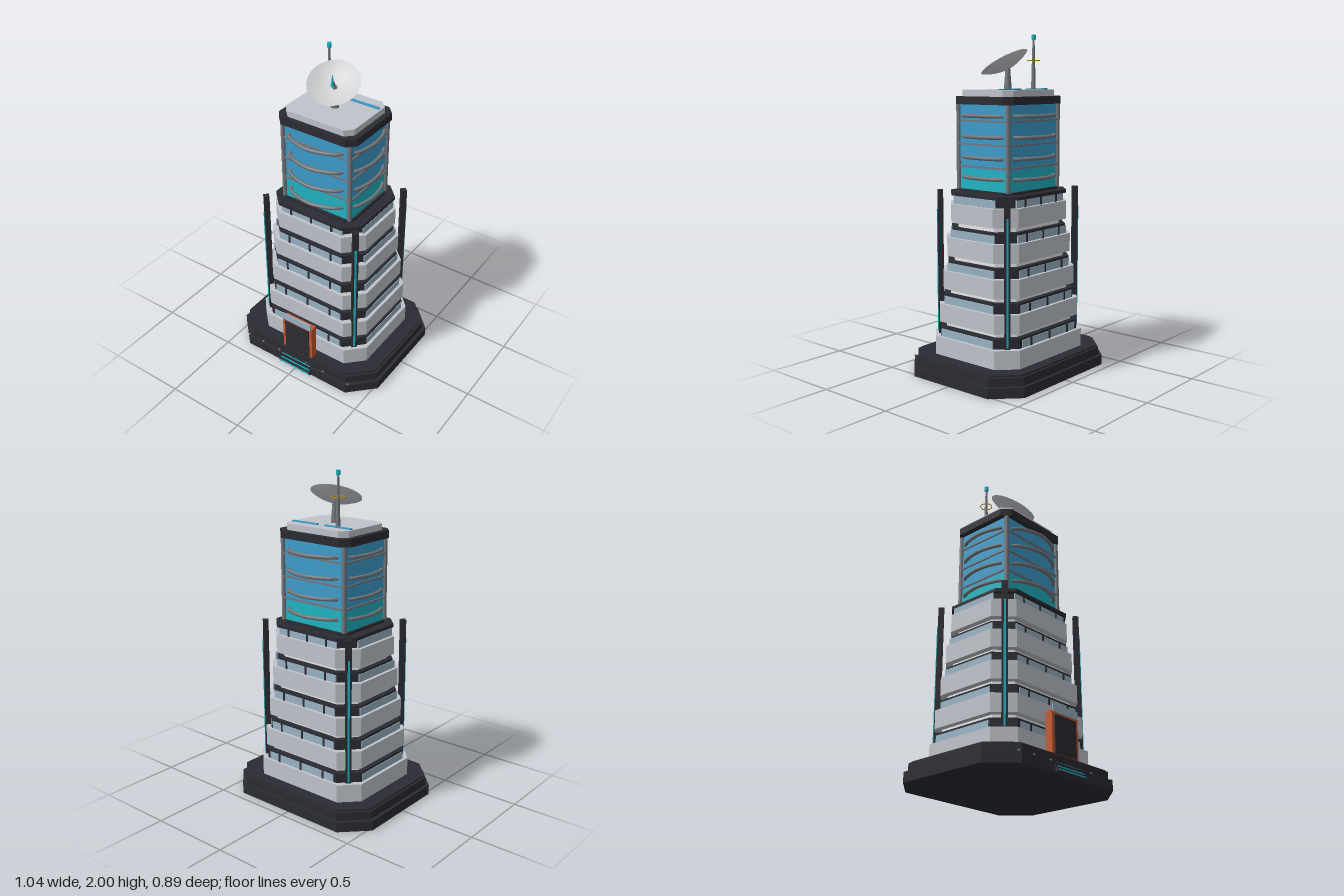
import * as THREE from 'three';

const mat = (name, color, extra = {}) =>
  Object.assign(new THREE.MeshStandardMaterial({ color, ...extra }), { name });

const M = {
  dark: mat('charcoal', 0x2b2b33),
  pale: mat('pale panel', 0xc0c4cb),
  white: mat('white light band', 0xffffff),
  window: mat('pale window', 0x9ab3c4),
  glass: mat('blue glass', 0x3d9ccb),
  teal: mat('teal', 0x20b4c2),
  metal: mat('grey metal', 0x74787d),
  orange: mat('orange', 0xc2562a),
  gold: mat('gold', 0xc9930f),
  dish: mat('dish grey', 0xcfd1d3, { side: THREE.DoubleSide }),
};

const CZ = -0.011; // tower axis sits slightly behind the centre

export function createModel() {
  const root = new THREE.Group();
  root.name = 'tower';

  const add = (name, geo, material, x = 0, y = 0, z = 0, parent = root) => {
    const m = new THREE.Mesh(geo, material);
    m.name = name;
    m.position.set(x, y, z);
    parent.add(m);
    return m;
  };
  const box = (name, w, h, d, material, x, y, z, parent) =>
    add(name, new THREE.BoxGeometry(w, h, d), material, x, y, z, parent);

  // Block with cut corners, half sizes hx and hz, from y0 to y1
  const octBlock = (name, hx, hz, c, y0, y1, material, parent) => {
    const pts = [[hx, hz - c], [hx - c, hz], [c - hx, hz], [-hx, hz - c],
      [-hx, c - hz], [c - hx, -hz], [hx - c, -hz], [hx, c - hz]];
    const shape = new THREE.Shape(pts.map(([x, y]) => new THREE.Vector2(x, y)));
    const geo = new THREE.ExtrudeGeometry(shape, { depth: y1 - y0, bevelEnabled: false });
    geo.rotateX(-Math.PI / 2);
    return add(name, geo, material, 0, y0, CZ, parent);
  };

  // Stepped base
  octBlock('baseLower', 0.522, 0.434, 0.145, 0, 0.06, M.dark);
  octBlock('baseMiddle', 0.502, 0.416, 0.14, 0.06, 0.11, M.dark);
  octBlock('baseTop', 0.488, 0.402, 0.135, 0.11, 0.12, M.dark);
  for (const x of [-0.385, -0.27, -0.14, 0.07, 0.2, 0.385])
    add('baseLamp', new THREE.SphereGeometry(0.007, 8, 6), M.metal, x, 0.066, 0.41);

  // Entrance steps with lit edges
  for (let i = 0; i < 3; i++) {
    const y = 0.02 + i * 0.02, front = 0.44 - i * 0.012;
    box('step', 0.24, 0.02, 0.04, M.dark, 0, y, front - 0.02);
    box('stepLight', 0.22, 0.006, 0.006, M.teal, 0, y, front + 0.002);
  }

  // Entrance portal
  box('doorFrame', 0.22, 0.235, 0.045, M.orange, 0, 0.2375, 0.376);
  box('door', 0.18, 0.215, 0.008, M.dark, 0, 0.2275, 0.399);
  box('doorCanopyGlass', 0.208, 0.045, 0.009, M.window, 0, 0.37, 0.4);

  // Five shrinking storeys
  for (let i = 0; i < 5; i++) {
    const g = new THREE.Group();
    g.name = 'storey';
    root.add(g);
    const hx = 0.397 - 0.0175 * i, hz = 0.333 - 0.0175 * i, c = 0.103;
    const y = 0.12 + 0.198 * i;
    octBlock('wallPanel', hx, hz, c, y, y + 0.11, M.pale, g);
    const bx = hx - 0.022, bz = hz - 0.022;
    octBlock('windowBand', bx, bz, c, y + 0.11, y + 0.17, M.dark, g);
    if (i < 4) octBlock('lightBand', hx - 0.055, hz - 0.055, c - 0.015, y + 0.17, y + 0.198, M.white, g);

    // Window strips and mullions on all four sides
    const wx = 0.25 - 0.008 * i, wz = 0.2 - 0.01 * i, wy = y + 0.134;
    for (const s of [-1, 1]) {
      box('longWindow', wx * 2, 0.046, 0.008, M.window, 0, wy, CZ + s * bz, g);
      box('sideWindow', 0.008, 0.046, wz * 2, M.window, s * bx, wy, CZ, g);
      const mx = 0.172 - 0.007 * i;
      for (const x of [-mx, 0, mx])
        box('mullion', 0.012, 0.05, 0.016, M.dark, x, wy, CZ + s * bz, g);
    }
  }
  octBlock('terrace', 0.308, 0.262, 0.085, 1.07, 1.09, M.dark);

  // Corner masts with a lit strip on the outer face
  for (const sx of [-1, 1]) for (const sz of [-1, 1]) {
    const g = new THREE.Group();
    g.name = 'cornerMast';
    g.position.set(sx * 0.318, 0, CZ + sz * 0.259);
    g.rotation.y = Math.atan2(sx, sz);
    root.add(g);
    box('mast', 0.034, 0.87, 0.034, M.dark, 0, 0.665, 0, g);
    box('mastLight', 0.012, 0.74, 0.008, M.teal, 0, 0.61, 0.018, g);
  }

  // Glass upper tower
  octBlock('upperCollar', 0.245, 0.208, 0.04, 1.09, 1.105, M.dark);
  octBlock('lowerGlass', 0.232, 0.192, 0.02, 1.105, 1.225, M.teal);
  octBlock('upperGlass', 0.232, 0.192, 0.02, 1.225, 1.605, M.glass);
  for (const sx of [-1, 1]) for (const sz of [-1, 1])
    add('cornerPost', new THREE.CylinderGeometry(0.014, 0.014, 0.5, 10), M.metal,
      sx * 0.229, 1.353, CZ + sz * 0.189);
  for (const y of [1.24, 1.37, 1.505])
    octBlock('floorTrim', 0.24, 0.2, 0.02, y - 0.005, y + 0.005, M.metal);

  // Bowed rails on each face
  const rail = (half, near, far) => new THREE.TubeGeometry(new THREE.CatmullRomCurve3([
    [-half, near], [-half * 0.82, near + (far - near) * 0.45], [0, far],
    [half * 0.82, near + (far - near) * 0.45], [half, near],
  ].map(([x, z]) => new THREE.Vector3(x, 0, z))), 24, 0.011, 8);
  const longRail = rail(0.185, 0.19, 0.268), sideRail = rail(0.155, 0.228, 0.27);
  for (const y of [1.178, 1.295, 1.415, 1.535]) for (let k = 0; k < 4; k++)
    add('rail', k % 2 ? sideRail : longRail, M.metal, 0, y, CZ).rotation.y = k * Math.PI / 2;

  // Roof
  octBlock('roofRim', 0.266, 0.222, 0.05, 1.6, 1.645, M.dark);
  octBlock('roof', 0.231, 0.194, 0.043, 1.645, 1.682, M.pale);
  for (const x of [-0.123, 0.122]) box('skylight', 0.192, 0.008, 0.017, M.glass, x, 1.685, -0.124);

  // Satellite dish
  add('dishStand', new THREE.CylinderGeometry(0.014, 0.024, 0.13, 12), M.metal, 0, 1.745, -0.005);
  const dish = new THREE.Group();
  dish.name = 'satelliteDish';
  dish.position.set(0, 1.804, -0.005);
  dish.quaternion.setFromUnitVectors(new THREE.Vector3(0, 1, 0),
    new THREE.Vector3(0.17, 1, 0.53).normalize());
  root.add(dish);
  const bowl = [];
  for (let i = 0; i <= 8; i++) bowl.push(new THREE.Vector2(0.152 * i / 8, 0.045 * (i / 8) ** 2));
  add('dishBowl', new THREE.LatheGeometry(bowl, 24), M.dish, 0, 0, 0, dish);
  add('feedRod', new THREE.CylinderGeometry(0.005, 0.008, 0.05, 8), M.metal, 0, 0.025, 0, dish);
  add('feedTip', new THREE.ConeGeometry(0.012, 0.075, 10), M.teal, 0, 1.855, 0.017);

  // Antenna
  add('antennaRod', new THREE.CylinderGeometry(0.006, 0.014, 0.3, 10), M.metal, -0.11, 1.83, -0.11);
  add('antennaLight', new THREE.CylinderGeometry(0.013, 0.013, 0.028, 12), M.teal, -0.11, 1.986, -0.11);
  add('antennaRing', new THREE.TorusGeometry(0.036, 0.003, 6, 24), M.gold, -0.11, 1.852, -0.11)
    .rotation.x = Math.PI / 2;

  return root;
}
